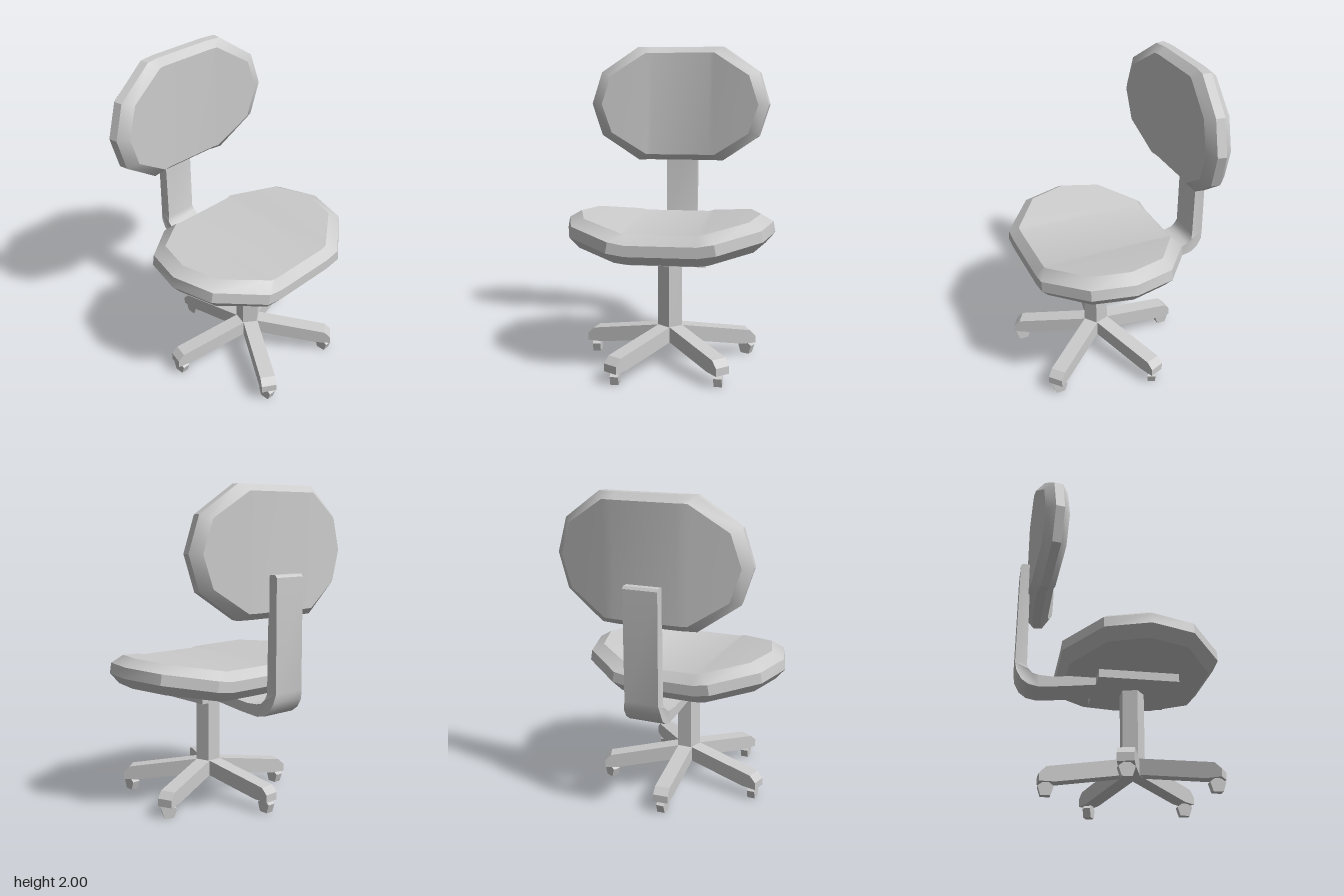
import * as THREE from 'three';
import { toCreasedNormals } from 'three/addons/utils/BufferGeometryUtils.js';

const grey = new THREE.MeshStandardMaterial({ color: 0xcccccc });

function part(name, geometry, parent) {
  const mesh = new THREE.Mesh(geometry, grey);
  mesh.name = name;
  parent.add(mesh);
  return mesh;
}

// Side profile in x/y, extruded to a width centred on z
function slab(points, width) {
  const shape = new THREE.Shape(points.map(p => new THREE.Vector2(...p)));
  return new THREE.ExtrudeGeometry(shape, { depth: width, bevelEnabled: false }).translate(0, 0, -width / 2);
}

// Five-sided prism with flat faces
function prism(radius, height) {
  return new THREE.CylinderGeometry(radius, radius, height, 5).toNonIndexed();
}

// Ten-sided bevelled pad, long along z, with both ends bent upwards
function padGeometry(halfLong, halfShort, halfThick) {
  const bend = 0.325, slope = 0.17;
  const outer = [[1, 0], [0.89, 0.556], [0.485, 1], [bend, 1]];
  const inner = [[0.895, 0], [0.79, 0.503], [0.405, 0.895], [bend, 0.895]];
  const rings = [[inner, -1], [outer, -0.37], [outer, 0.37], [inner, 1]];
  const position = [], index = [], n = 14;
  for (const [quarter, level] of rings) {
    const h = level * halfThick;
    const half = [...quarter, ...quarter.map(([u, v]) => [-u, v]).reverse()];
    const loop = [...half, ...half.slice(1, -1).map(([u, v]) => [u, -v]).reverse()];
    for (const [u, v] of loop) {
      const over = Math.max(0, Math.abs(u) - bend) * halfLong;
      const lean = over > 0 ? Math.sign(u) * slope * h : 0;
      position.push(v * halfShort, h + slope * over, u * halfLong - lean);
    }
  }
  const quad = (a, b, c, d) => {
    if (b !== c) index.push(a, b, c);
    if (a !== d) index.push(a, c, d);
  };
  for (let r = 0; r < 3; r++) {
    for (let i = 0; i < n; i++) {
      const k = (i + 1) % n;
      quad(r * n + i, r * n + k, (r + 1) * n + k, (r + 1) * n + i);
    }
  }
  // Caps as strips between mirrored outline points
  const top = 3 * n;
  for (let i = 0; i < 7; i++) {
    const k = (n - i) % n, m = n - i - 1;
    quad(top + i, top + i + 1, top + m, top + k);
    quad(k, m, i + 1, i);
  }
  const g = new THREE.BufferGeometry();
  g.setAttribute('position', new THREE.Float32BufferAttribute(position, 3));
  g.setIndex(index);
  return toCreasedNormals(g, 0.56);
}

export function createModel() {
  const chair = new THREE.Group();
  chair.name = 'swivelChair';
  const cx = 0.11;

  // Seat and backrest share one pad shape
  part('seat', padGeometry(0.65, 0.473, 0.09), chair).position.set(0.112, 0.815, 0);
  const back = part('backrest', padGeometry(0.605, 0.383, 0.075), chair);
  back.rotation.z = -Math.PI / 2;
  back.position.set(-0.49, 1.617, 0);

  // Plate under the seat
  part('seatPlate', new THREE.BoxGeometry(0.49, 0.055, 0.49), chair).position.set(0.115, 0.706, 0);

  // Bent bar from the plate up to the backrest, slightly wider below
  const bar = slab([
    [-0.12, 0.68], [-0.34, 0.655], [-0.48, 0.645], [-0.54, 0.657], [-0.585, 0.69],
    [-0.615, 0.745], [-0.625, 0.8], [-0.622, 1.475], [-0.61, 1.49], [-0.56, 1.49],
    [-0.552, 0.79], [-0.542, 0.755], [-0.515, 0.73], [-0.475, 0.72], [-0.4, 0.715], [-0.2, 0.732], [-0.12, 0.733],
  ], 0.215);
  const p = bar.attributes.position;
  for (let i = 0; i < p.count; i++) if (p.getY(i) < 0.78) p.setZ(i, p.getZ(i) * 1.1);
  part('backSupport', toCreasedNormals(bar, 0.6), chair);

  // Five-sided post, one corner to the front of the seat
  const post = prism(0.08, 0.56).rotateY(Math.PI / 2);
  post.computeVertexNormals();
  part('post', post, chair).position.set(cx, 0.42, 0);

  // Five legs with a caster at each end
  const legGeometry = slab([
    [0.04, 0.145], [0.47, 0.077], [0.565, 0.077], [0.565, 0.125], [0.525, 0.165], [0.065, 0.24], [0.04, 0.24],
  ], 0.096);
  const wheel = prism(0.05, 0.05).rotateX(-Math.PI / 2);
  wheel.computeVertexNormals();
  for (let i = 0; i < 5; i++) {
    const a = THREE.MathUtils.degToRad(32 + 72 * i);
    const leg = part('leg', legGeometry, chair);
    leg.position.x = cx;
    leg.rotation.y = -a;
    const caster = part('caster', wheel, chair);
    caster.position.set(cx + 0.52 * Math.cos(a), 0.0405, 0.52 * Math.sin(a));
    // One caster is swivelled sideways
    if (i === 3) caster.rotation.y = 1.1;
  }
  return chair;
}
